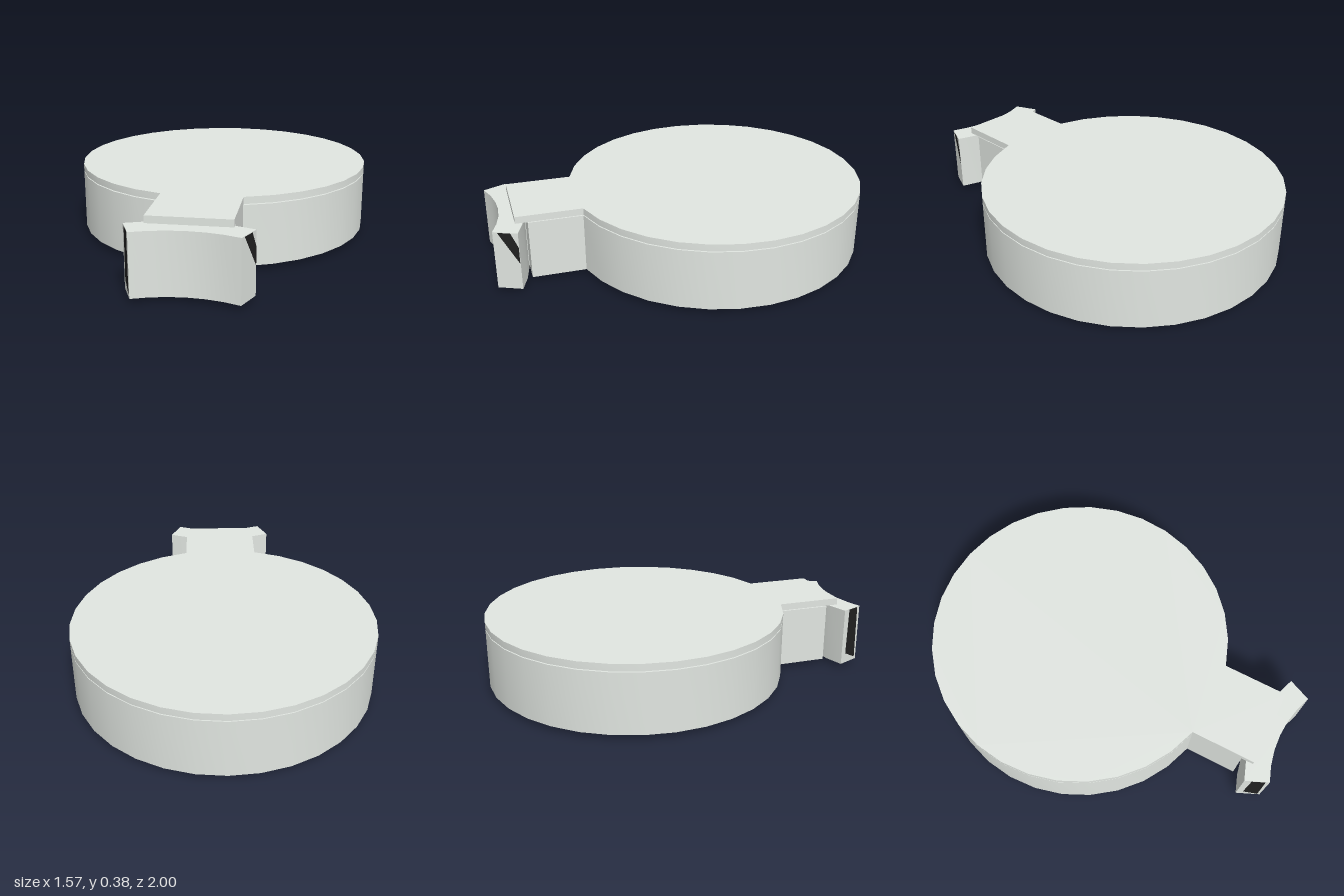
import * as THREE from 'three';
import { toCreasedNormals, mergeGeometries } from 'three/addons/utils/BufferGeometryUtils.js';

const CZ = -0.215, R = 0.785;

// Points (x, z) on an arc, angles in degrees measured from +x towards +z
function arc(cx, cz, r, from, to, n) {
  const pts = [];
  for (let i = 0; i <= n; i++) {
    const a = THREE.MathUtils.degToRad(from + ((to - from) * i) / n);
    pts.push(new THREE.Vector2(cx + r * Math.cos(a), cz + r * Math.sin(a)));
  }
  return pts;
}

// Round outline opening at +z into a mirrored neck, given by its +x side points
function keyhole(r, halfOpening, neck) {
  const gap = THREE.MathUtils.radToDeg(Math.asin(halfOpening / r));
  return [
    ...arc(0, CZ, r, 90 + gap, 450 - gap, 30),
    ...neck.map(([x, z]) => new THREE.Vector2(x, z)),
    ...neck.map(([x, z]) => new THREE.Vector2(-x, z)).reverse(),
  ];
}

// Solid slab standing between two heights
function slab(points, y0, y1) {
  const g = new THREE.ExtrudeGeometry(new THREE.Shape(points), { depth: y1 - y0, bevelEnabled: false });
  g.rotateX(Math.PI / 2).translate(0, y1, 0);
  return toCreasedNormals(g, 0.5);
}

// Hollow slab: side walls and a top, open underneath
function shell(points, y0, y1) {
  const g = slab(points, y0, y1);
  const side = g.groups[1];
  const walls = new THREE.BufferGeometry();
  for (const name of ['position', 'normal', 'uv']) {
    const a = g.attributes[name];
    const part = a.array.slice(side.start * a.itemSize, (side.start + side.count) * a.itemSize);
    walls.setAttribute(name, new THREE.BufferAttribute(part, a.itemSize));
  }
  const top = new THREE.ShapeGeometry(new THREE.Shape(points)).toNonIndexed();
  // Turned over so that its front faces up
  top.scale(1, 1, -1).rotateX(Math.PI / 2).translate(0, y1, 0);
  const n = top.attributes.normal;
  for (let i = 0; i < n.count; i++) n.setXYZ(i, 0, 1, 0);
  const p = top.attributes.position;
  for (let i = 0; i < p.count; i += 3) {
    const [x, z] = [p.getX(i + 1), p.getZ(i + 1)];
    p.setXYZ(i + 1, p.getX(i + 2), y1, p.getZ(i + 2));
    p.setXYZ(i + 2, x, y1, z);
  }
  return mergeGeometries([walls, top]);
}

export function createModel() {
  const group = new THREE.Group();
  const paleGrey = new THREE.MeshStandardMaterial({ color: 0xe1e6e1, side: THREE.DoubleSide });
  paleGrey.name = 'pale grey';
  const black = new THREE.MeshStandardMaterial({ color: 0x202020, side: THREE.DoubleSide });
  black.name = 'black';
  const midGrey = new THREE.MeshStandardMaterial({ color: 0xc8ccc8 });
  midGrey.name = 'mid grey';

  const add = (name, geometry, material) => {
    const mesh = new THREE.Mesh(geometry, material);
    mesh.name = name;
    group.add(mesh);
  };

  // Housing, open underneath, and its separate lid
  add('housing', shell(keyhole(R, 0.2, [[0.2, 0.822]]), 0.025, 0.337), paleGrey);
  add('lid', slab(keyhole(R, 0.202, [[0.202, 0.885]]), 0.342, 0.378), paleGrey);

  // Inner core with the dark base plate, flaring where the strip meets the disc
  const strip = (w, end) => [[w + 0.1, 0.43], [w + 0.035, 0.5], [w, 0.58], [w, end]];
  add('core', shell(keyhole(0.65, 0.275, strip(0.073, 0.83)), 0.02, 0.33), paleGrey);
  add('basePlate', slab(keyhole(0.655, 0.28, strip(0.075, 0.84)), 0.012, 0.021), black);

  // Round foot with a flat at the back
  const foot = [
    new THREE.Vector2(0.19, -0.522),
    ...arc(0, -0.215, 0.345, -54, 234, 28),
    new THREE.Vector2(-0.19, -0.522),
  ];
  add('foot', slab(foot, 0, 0.0118), midGrey);

  // Curved mounting flange at the end of the neck
  const flange = [
    ...arc(0, 1.57, 0.75, -113.5, -66.5, 6),
    ...arc(0, 1.57, 0.622, -66.5, -113.5, 6),
  ];
  add('flange', shell(flange, 0.025, 0.337), paleGrey);

  // Dark marks on both faces of the flange ends: t runs from the back edge to the front edge
  const endMark = (side, corners) => {
    const faces = [0.0015, -0.002].map((offset) => {
      const p = corners.map(([t, y]) => [side * (0.299 - 0.051 * t + offset), y, 0.882 + 0.117 * t]);
      const g = new THREE.BufferGeometry();
      g.setAttribute('position', new THREE.Float32BufferAttribute(
        (side > 0 ? [0, 2, 1, 0, 3, 2] : [0, 1, 2, 0, 2, 3]).flatMap((i) => p[i]), 3));
      g.computeVertexNormals();
      return g;
    });
    return mergeGeometries(faces);
  };
  add('leftEndMark', endMark(1, [[0.82, 0.335], [0.3, 0.335], [0.02, 0.26], [0.02, 0.17]]), black);
  add('rightEndMark', endMark(-1, [[0.85, 0.335], [0.3, 0.335], [0.25, 0.08], [0.9, 0.04]]), black);

  return group;
}
